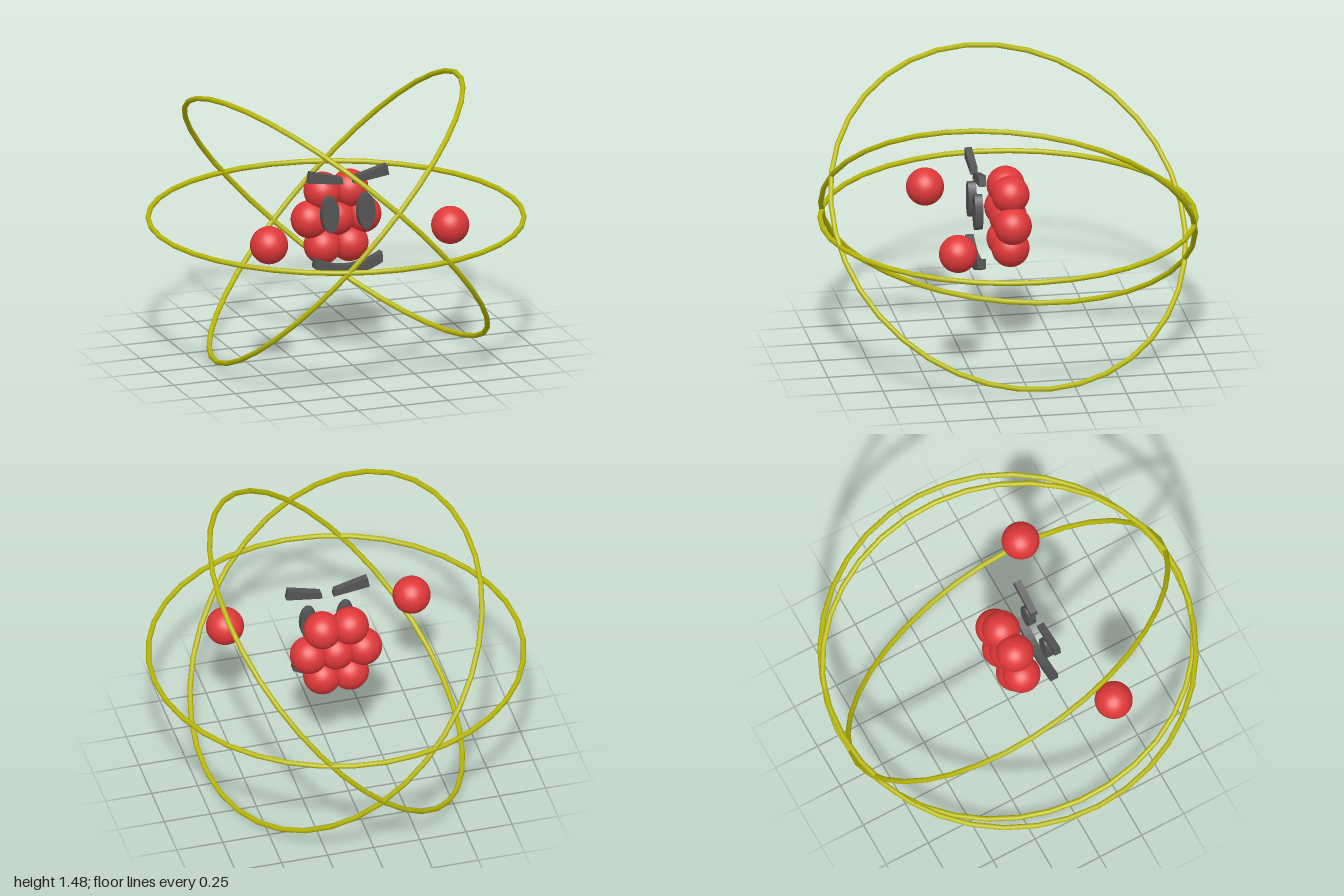
import * as THREE from 'three';

const CENTER_Y = 0.742;

const red = new THREE.MeshStandardMaterial({ color: 0xe03838 });
const yellow = new THREE.MeshStandardMaterial({ color: 0xb8b808 });
const dark = new THREE.MeshStandardMaterial({ color: 0x555555 });

export function createModel() {
  const model = new THREE.Group();

  const add = (name, geometry, material, x, y, z, parent = model) => {
    const mesh = new THREE.Mesh(geometry, material);
    mesh.name = name;
    mesh.position.set(x, y, z);
    parent.add(mesh);
    return mesh;
  };

  // Orbit rings: one flat, two tilted as mirror images
  const ringGeo = new THREE.TorusGeometry(0.984, 0.014, 10, 36);
  const zAxis = new THREE.Vector3(0, 0, 1);
  const addRing = (name, normal) => {
    const ring = add(name, ringGeo, yellow, 0, CENTER_Y, 0);
    ring.quaternion.setFromUnitVectors(zAxis, normal.normalize());
  };
  addRing('flatOrbit', new THREE.Vector3(0, 1, 0));
  addRing('leftTiltedOrbit', new THREE.Vector3(0.709, 0.673, -0.21));
  addRing('rightTiltedOrbit', new THREE.Vector3(-0.709, 0.673, -0.21));

  // Nucleus: seven balls in a hexagonal cluster
  const ballGeo = new THREE.SphereGeometry(0.1, 32, 20);
  const nucleus = new THREE.Group();
  nucleus.name = 'nucleus';
  model.add(nucleus);
  for (const [x, y] of [
    [-0.075, 0.895], [0.075, 0.895],
    [-0.147, 0.746], [0, 0.746], [0.147, 0.746],
    [-0.075, 0.597], [0.075, 0.597],
  ]) add('nucleusBall', ballGeo, red, x, y, 0, nucleus);

  // Eyes, brows that taper inwards, and the two electrons
  const eyeGeo = new THREE.CylinderGeometry(1, 1, 0.043, 32).rotateX(Math.PI / 2);
  const browCorners = [[0.03, 0.979], [0.226, 1.006], [0.215, 1.064], [0.036, 1.016]];
  for (const side of [1, -1]) {
    const label = side > 0 ? 'left' : 'right';
    add(label + 'Electron', ballGeo, red, side * 0.506, 0.747, 0.353);

    const eye = add(label + 'Eye', eyeGeo, dark, side * 0.101, 0.819, 0.177);
    eye.scale.set(0.047, 0.098, 1);

    const browShape = new THREE.Shape(browCorners.map(([x, y]) => new THREE.Vector2(side * x, y)));
    const browGeo = new THREE.ExtrudeGeometry(browShape, { depth: 0.038, bevelEnabled: false });
    add(label + 'Brow', browGeo, dark, 0, 0, 0.155);
  }

  // Smiling mouth: a curved band
  const smile = new THREE.Shape();
  smile.moveTo(-0.187, 0.588);
  smile.lineTo(-0.19, 0.534);
  smile.quadraticCurveTo(0, 0.427, 0.19, 0.534);
  smile.lineTo(0.187, 0.588);
  smile.quadraticCurveTo(0, 0.482, -0.187, 0.588);
  const mouthGeo = new THREE.ExtrudeGeometry(smile, {
    depth: 0.046, bevelEnabled: false, curveSegments: 12,
  });
  add('mouth', mouthGeo, dark, 0, 0, 0.15);

  return model;
}
